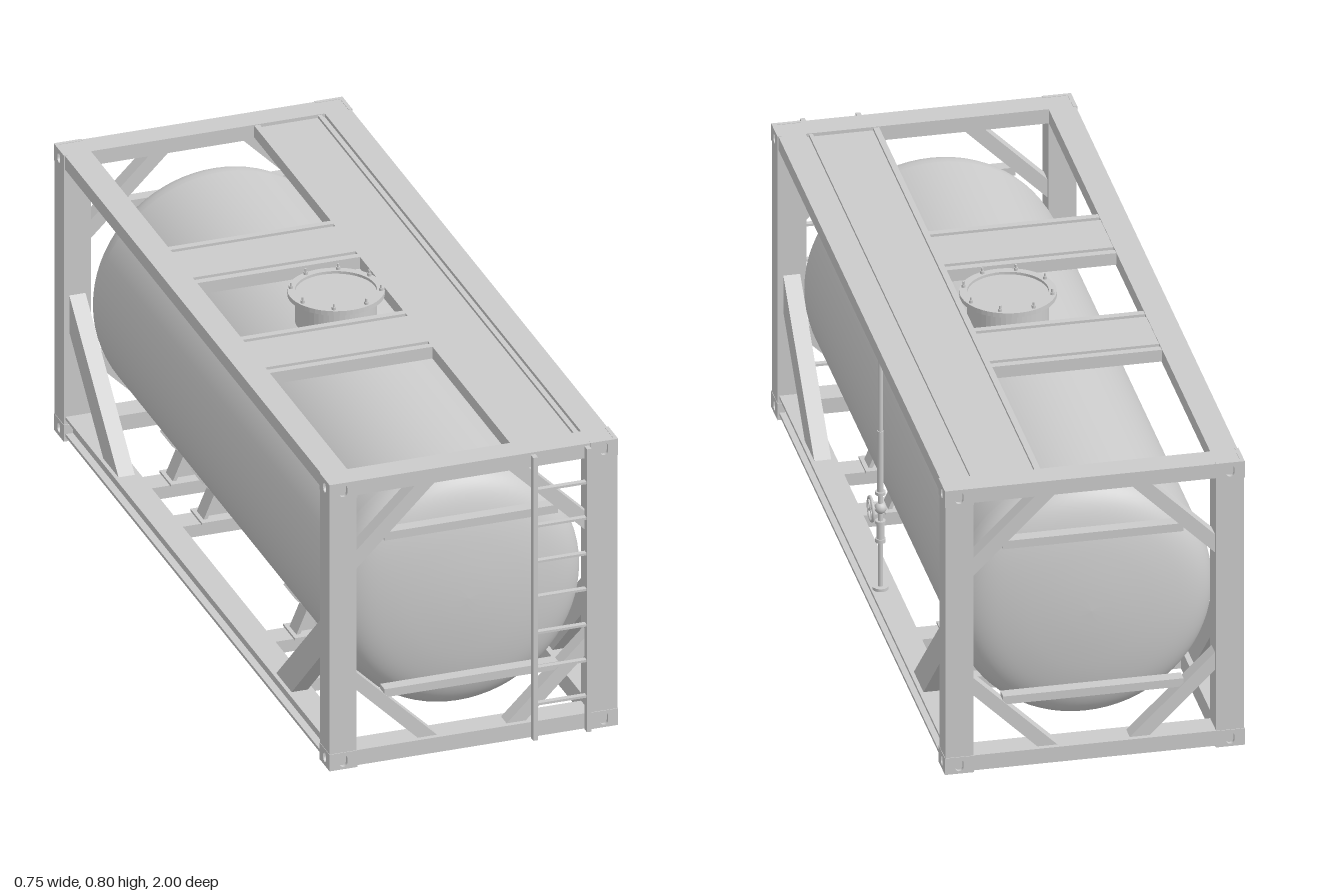
import * as THREE from 'three';

const mat = new THREE.MeshStandardMaterial({ color: 0xcccccc, side: THREE.DoubleSide });

export function createModel() {
  const root = new THREE.Group();
  root.name = 'tankContainer';
  const body = new THREE.Group();
  body.name = 'framedTank';
  body.position.z = -0.01;
  root.add(body);

  const add = (name, geo, x = 0, y = 0, z = 0, parent = body) => {
    const m = new THREE.Mesh(geo, mat);
    m.name = name;
    m.position.set(x, y, z);
    parent.add(m);
    return m;
  };
  // box given by its extents
  const box = (name, x0, x1, y0, y1, z0, z1, parent = body) =>
    add(name, new THREE.BoxGeometry(Math.abs(x1 - x0), y1 - y0, Math.abs(z1 - z0)),
      (x0 + x1) / 2, (y0 + y1) / 2, (z0 + z1) / 2, parent);
  const cyl = (name, r, h, x, y, z, seg = 16) => add(name, new THREE.CylinderGeometry(r, r, h, seg), x, y, z);
  // flat polygon in the xy plane, extruded along z and centred on it
  const prism = (shape, depth, curveSegments = 24) =>
    new THREE.ExtrudeGeometry(shape, { depth, bevelEnabled: false, curveSegments }).translate(0, 0, -depth / 2);
  const poly = pts => new THREE.Shape(pts.map(p => new THREE.Vector2(...p)));

  const X = 0.373, XI = 0.303, Z = 0.99, ZI = 0.92, TOP = 0.78, CY = 0.39, R = 0.325;
  const sides = [-1, 1];

  // tank shell with knuckled, shallow domed heads
  const half = [[R, 0.825], [0.322, 0.851], [0.313, 0.875], [0.297, 0.895], [0.272, 0.912],
    [0.235, 0.926], [0.18, 0.938], [0.12, 0.946], [0.06, 0.951], [0, 0.953]];
  const headCurve = new THREE.SplineCurve(half.map(p => new THREE.Vector2(...p))).getPoints(30);
  headCurve[30].x = 0;
  const profile = [
    ...headCurve.slice().reverse().map(p => new THREE.Vector2(p.x, -p.y)), ...headCurve];
  add('tank', new THREE.LatheGeometry(profile, 72).rotateX(Math.PI / 2), 0, CY, 0);

  // corner castings with a slot in the end face and a hole in the side face
  const slotPlate = (w, h, hw, hh, t) => {
    const s = poly([[-w / 2, -h / 2], [w / 2, -h / 2], [w / 2, h / 2], [-w / 2, h / 2]]);
    const hole = new THREE.Path();
    const d = hh - hw;
    hole.absarc(0, d, hw, 0, Math.PI);
    hole.absarc(0, -d, hw, Math.PI, 2 * Math.PI);
    hole.closePath();
    s.holes.push(hole);
    return prism(s, t, 8);
  };
  const W = 0.072, T = 0.01;
  for (const sx of sides) for (const sz of sides) {
    for (const yc of [0.0225, TOP - 0.0225]) {
      const g = new THREE.Group();
      g.name = 'cornerCasting';
      g.position.set(sx * (X + 0.001), yc, sz * Z);
      body.add(g);
      box('castingCore', -sx * T, -sx * W, -0.0215, 0.0215, -sz * T, -sz * W, g);
      add('castingEndFace', slotPlate(W, 0.045, 0.01, 0.016, T), -sx * W / 2, 0, -sz * T / 2, g);
      add('castingSideFace', slotPlate(W, 0.045, 0.01, 0.013, T).rotateY(Math.PI / 2), -sx * T / 2, 0, -sz * W / 2, g);
    }
    box('cornerPost', sx * X, sx * XI, 0.045, TOP - 0.045, sz * (Z - 0.002), sz * ZI);

    // diagonal brace from post to bottom side rail
    const brace = prism(poly([[0.925, 0.4], [0.925, 0.3], [0.67, 0.06], [0.56, 0.06]]), 0.042).rotateY(-Math.PI / 2);
    if (sz < 0) brace.rotateY(Math.PI);
    add('sideBrace', brace, sx * 0.338, 0, 0);

    // corner diagonals of the end frame
    const up = [[0.31, 0.522], [0.31, 0.572], [0.13, 0.75], [0.08, 0.75]];
    const low = [[0.31, 0.213], [0.31, 0.261], [0.08, 0.035], [0.13, 0.035]];
    for (const pts of [up, low])
      add('endDiagonal', prism(poly(pts.map(([x, y]) => [sx * x, y])), 0.04), 0, 0, sz * 0.955);
  }

  // end frames
  for (const sz of sides) {
    box('topEndBeam', -XI, XI, 0.74, TOP - 0.001, sz * (Z - 0.002), sz * ZI);
    box('bottomEndBeam', -XI, XI, 0.004, 0.045, sz * (Z - 0.002), sz * ZI);
    box('upperEndTie', -0.225, 0.225, 0.595, 0.617, sz * 0.94, sz * 0.972);
    box('lowerEndTie', -0.225, 0.225, 0.168, 0.19, sz * 0.94, sz * 0.972);
  }

  // side rails, the bottom ones as channels opening outward
  for (const sx of sides) {
    box('topSideRail', sx * (X - 0.002), sx * XI, 0.742, TOP - 0.001, -ZI, ZI);
    box('bottomRailWeb', sx * 0.35, sx * XI, 0.012, 0.066, -ZI, ZI);
    box('bottomRailUpperLip', sx * (X - 0.004), sx * 0.35, 0.058, 0.066, -ZI, ZI);
    box('bottomRailLowerLip', sx * (X - 0.004), sx * 0.35, 0.012, 0.02, -ZI, ZI);
  }

  // walkway along the left side and cross platforms
  box('walkway', 0.135, XI, 0.757, 0.77, -ZI, ZI);
  box('walkwayInnerLip', 0.12, 0.135, 0.745, TOP - 0.003, -ZI, ZI);
  box('walkwayOuterLip', 0.285, 0.295, 0.757, TOP - 0.003, -ZI, ZI);
  for (const [z0, z1] of [[0.15, 0.36], [-0.37, -0.16]]) {
    box('crossPlatform', -XI, 0.125, 0.757, 0.77, z0, z1);
    box('platformTread', -XI, 0.12, 0.768, 0.777, z0 + 0.032, z1 - 0.032);
    for (const [a, b] of [[z0, z0 + 0.018], [z1 - 0.018, z1]])
      box('platformEdge', -XI, 0.12, 0.745, 0.777, a, b);
  }

  // saddles under the tank, each on a cross beam
  const arc = 0.8, RO = 0.335;
  const wrap = new THREE.Shape();
  wrap.absarc(0, CY, RO, -Math.PI / 2 - arc, -Math.PI / 2 + arc, false);
  wrap.absarc(0, CY, R - 0.002, -Math.PI / 2 + arc, -Math.PI / 2 - arc, true);
  wrap.closePath();
  const web = new THREE.Shape();
  web.moveTo(-0.225, 0.05);
  web.lineTo(-0.197, 0.12);
  web.absarc(0, CY, RO, -Math.PI / 2 - 0.63, -Math.PI / 2 + 0.63, false);
  web.lineTo(0.197, 0.12);
  web.lineTo(0.225, 0.05);
  web.closePath();
  for (const z of [-0.555, -0.333, 0.333, 0.555]) {
    add('saddleWrap', prism(wrap, 0.09), 0, 0, z);
    add('saddleWeb', prism(web, 0.018), 0, 0, z);
    for (const s of sides)
      add('saddleEndPlate', prism(poly([[s * 0.232, 0.05], [s * 0.222, 0.05], [s * 0.19, 0.125], [s * 0.2, 0.125]]), 0.05), 0, 0, z);
    box('saddleFoot', -0.242, 0.242, 0.045, 0.051, z - 0.042, z + 0.042);
    box('crossBeam', -XI, XI, 0.012, 0.045, z - 0.033, z + 0.033);
  }

  // manhole: neck, flange with sunken cover, bolts
  const manhole = [[0.1, 0.68], [0.1, 0.772], [0.119, 0.772], [0.119, 0.784], [0.1, 0.784], [0.1, 0.777], [0, 0.777]];
  const lathe = new THREE.LatheGeometry(manhole.map(p => new THREE.Vector2(...p)), 48).toNonIndexed();
  lathe.computeVertexNormals();
  add('manhole', lathe);
  for (let i = 0; i < 8; i++) {
    const a = (i + 0.5) * Math.PI / 4, x = Math.cos(a) * 0.11, z = Math.sin(a) * 0.11;
    cyl('manholeBolt', 0.003, 0.03, x, 0.785, z, 8);
    cyl('manholeNut', 0.0055, 0.007, x, 0.788, z, 6);
  }

  // ladder on the front
  for (const x of [0.153, 0.292]) box('ladderRail', x - 0.006, x + 0.006, 0.004, 0.775, 0.991, 1.01);
  for (let i = 0; i < 7; i++) {
    const y = 0.1 + i * 0.097;
    box('ladderRung', 0.155, 0.29, y - 0.003, y + 0.003, 0.993, 1.007);
  }

  // drain pipe: up the left side, then inward to the tank top
  const px = 0.345, pz = -0.122;
  const path = new THREE.CurvePath();
  const v = (x, y, z = pz) => new THREE.Vector3(x, y, z);
  path.add(new THREE.LineCurve3(v(px, 0.066), v(px, 0.71)));
  path.add(new THREE.QuadraticBezierCurve3(v(px, 0.71), v(px, 0.73), v(px - 0.02, 0.73)));
  path.add(new THREE.LineCurve3(v(px - 0.02, 0.73), v(0.03, 0.73)));
  path.add(new THREE.QuadraticBezierCurve3(v(0.03, 0.73), v(0.01, 0.73), v(0.01, 0.7)));
  add('drainPipe', new THREE.TubeGeometry(path, 120, 0.006, 10));
  cyl('pipeSleeve', 0.008, 0.17, px, 0.415, pz);
  for (const [y, r, h] of [[0.07, 0.02, 0.008], [0.2, 0.013, 0.01], [0.225, 0.01, 0.04], [0.25, 0.013, 0.008], [0.33, 0.013, 0.008]])
    cyl('pipeFlange', r, h, px, y, pz);
  add('valveBody', new THREE.SphereGeometry(0.015, 16, 12), px, 0.288, pz);
  add('valveStem', new THREE.CylinderGeometry(0.005, 0.005, 0.03, 10).rotateZ(Math.PI / 2), 0.357, 0.288, pz);
  add('valveWheel', new THREE.TorusGeometry(0.03, 0.004, 8, 28).rotateY(Math.PI / 2), 0.369, 0.288, pz);
  for (let i = 0; i < 3; i++)
    add('wheelSpoke', new THREE.BoxGeometry(0.004, 0.06, 0.005).rotateX(i * Math.PI / 3), 0.369, 0.288, pz);

  return root;
}
